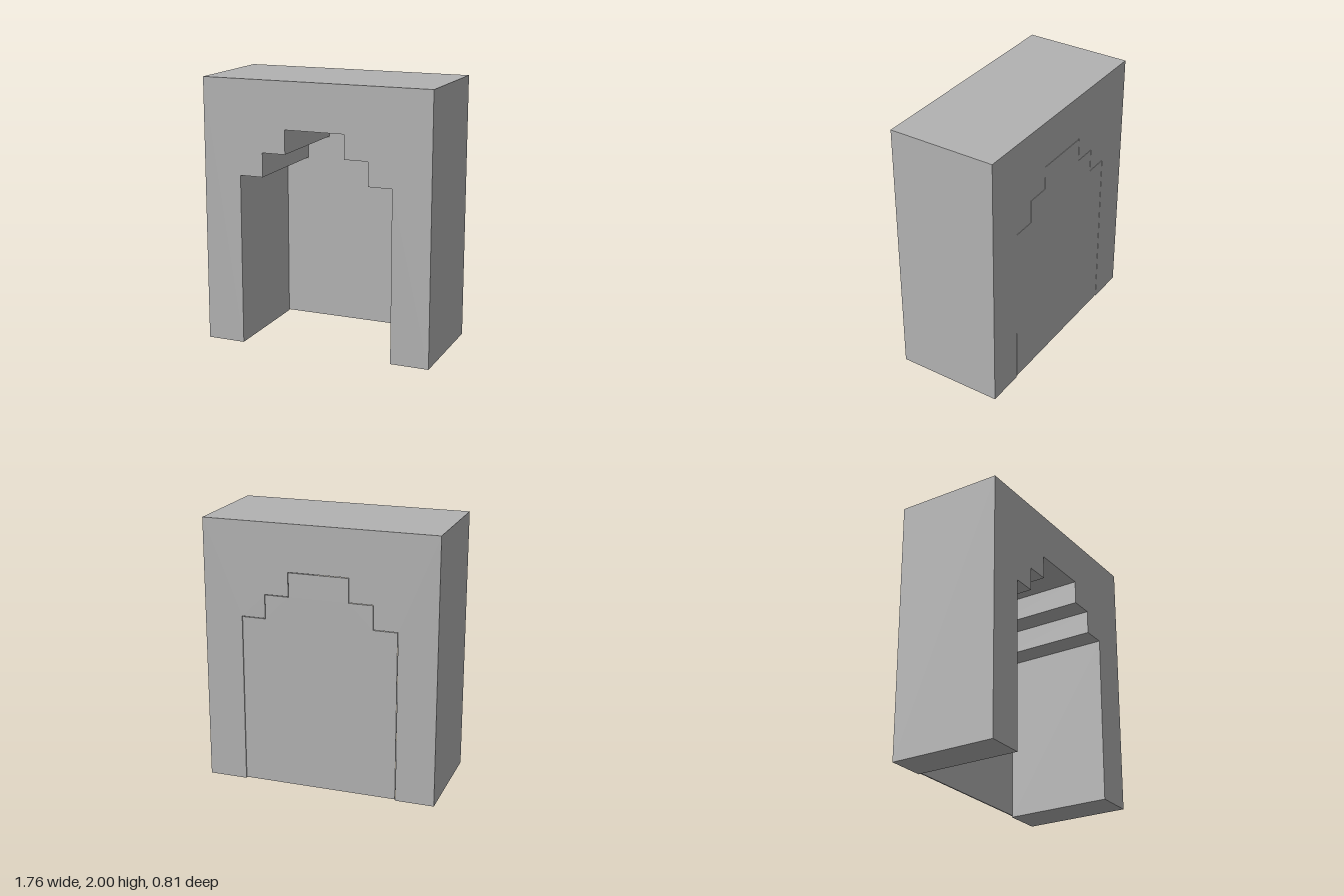
import * as THREE from 'three';

const DEPTH = 0.815;

// Stepped opening, one half from the floor to the crown, mirrored to the other side
function steppedOutline(gap, base) {
  const half = [[0.59, base], [0.59, 1.29], [0.41, 1.29], [0.41, 1.47], [0.23, 1.47], [0.23, 1.65]]
    .map(([x, y], i) => [x - gap, i === 0 ? y : y - gap]);
  const mirrored = half.map(([x, y]) => [-x, y]).reverse();
  return [...half, ...mirrored].map(([x, y]) => new THREE.Vector2(x, y));
}

function extruded(points, depth, material, name) {
  const geometry = new THREE.ExtrudeGeometry(new THREE.Shape(points), { depth, bevelEnabled: false });
  geometry.translate(0, 0, -DEPTH / 2);
  const mesh = new THREE.Mesh(geometry, material);
  mesh.name = name;
  return mesh;
}

export function createModel() {
  const group = new THREE.Group();
  group.name = 'steppedAlcove';
  const stone = new THREE.MeshStandardMaterial({ color: 0xb2b2b2 });
  stone.name = 'grey stone';

  // Thick surround: the block outline runs round the opening
  const surround = [
    new THREE.Vector2(-0.88, 0), ...steppedOutline(0, 0).reverse(),
    new THREE.Vector2(0.88, 0), new THREE.Vector2(0.88, 2), new THREE.Vector2(-0.88, 2),
  ];
  group.add(extruded(surround, DEPTH, stone, 'surround'));

  // Thin panel closing the back, with a hairline gap round its edge
  group.add(extruded(steppedOutline(0.004, 0.01), 0.01, stone, 'backPanel'));
  return group;
}
